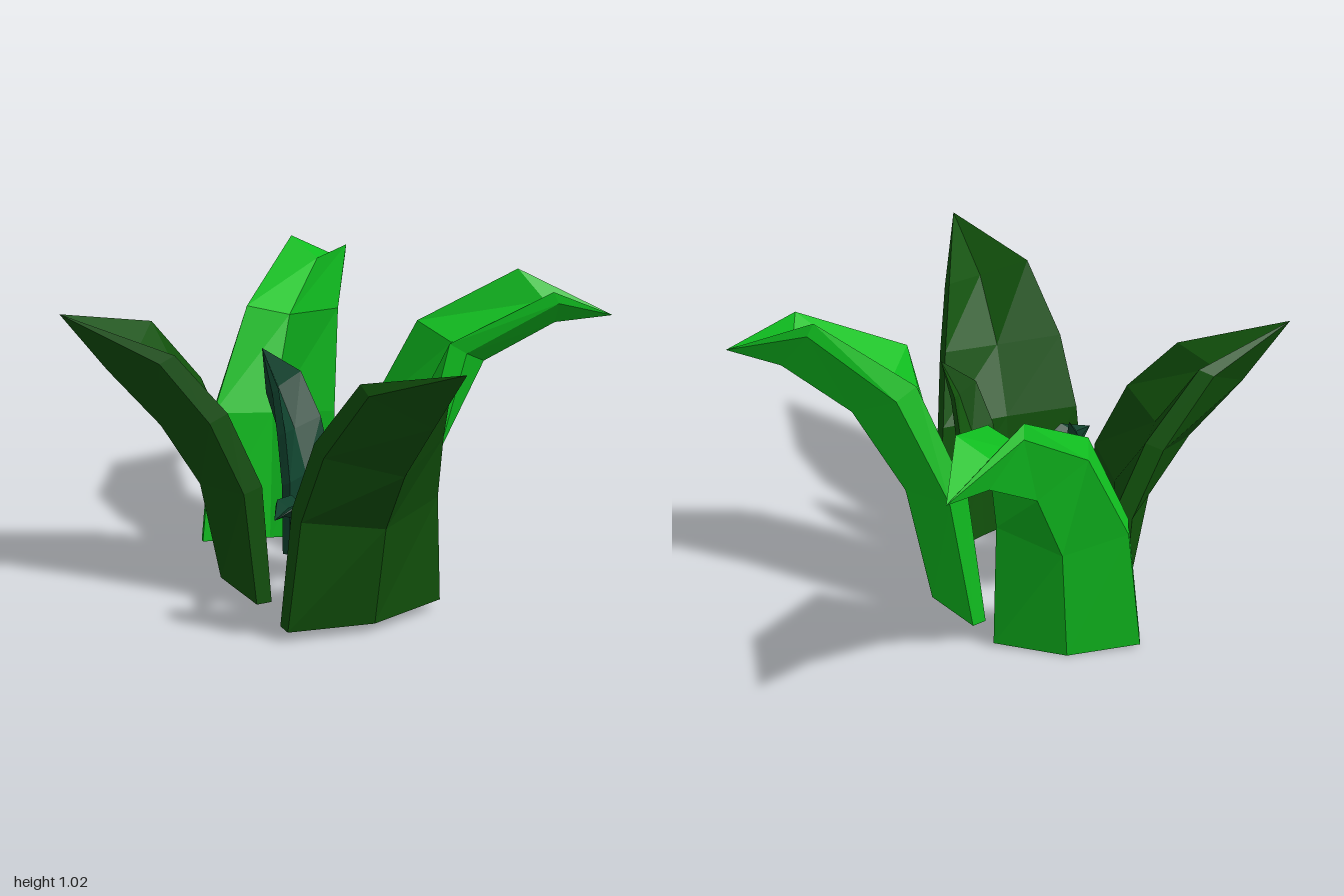
import * as THREE from 'three';

const mat = (color) => new THREE.MeshStandardMaterial({ color, flatShading: true });

// Each ring: edge out, edge height, keel out, keel height, half width, sideways drift,
// twist (one edge further out) and tilt (one edge higher)
const UPRIGHT = [
  [0.00, 0.03, 0.11, 0.02, 0.283, 0, 0, 0],
  [0.02, 0.42, 0.175, 0.36, 0.25, 0, 0, 0],
  [0.12, 0.66, 0.30, 0.57, 0.215, 0.01, 0, 0],
  [0.285, 0.865, 0.47, 0.77, 0.15, 0.015, 0.01, 0.02],
  [0.62, 0.97, 0.62, 0.97, 0.00, 0, 0, 0],
];
const DROOPING = [
  [0.00, 0.02, 0.10, 0.00, 0.24, 0, 0, 0],
  [0.02, 0.48, 0.18, 0.42, 0.21, 0.02, -0.02, 0],
  [0.12, 0.83, 0.33, 0.70, 0.155, 0.10, -0.04, 0],
  [0.435, 0.995, 0.52, 0.84, 0.10, 0.24, 0, -0.02],
  [0.67, 0.87, 0.67, 0.87, 0.00, 0.36, 0, 0],
];

// Thick folded leaf: six-point sections with an outer keel, thin rims and an inner groove
// that deepens towards the tip
function leafGeometry(rings, sweep = 0) {
  const sections = rings.map(([ed, eh, kd, kh, hw, drift, twist, tilt], i) => {
    const at = (t, side) => [
      ed + (kd - ed) * t + side * twist,
      eh + (kh - eh) * t + side * tilt,
      drift + sweep * ed + side * hw,
    ];
    const rim = 0.45 - 0.06 * i, groove = 0.1 + 0.13 * i;
    return [at(0, 1), at(rim, 1), at(1, 0), at(rim, -1), at(0, -1), at(groove, 0)];
  });
  const pos = [];
  const tri = (a, b, c) => pos.push(...a, ...b, ...c);
  for (let i = 0; i < sections.length - 1; i++) {
    const low = sections[i], high = sections[i + 1];
    for (let j = 0; j < 6; j++) {
      const k = (j + 1) % 6;
      tri(low[j], low[k], high[k]);
      if (i < sections.length - 2) tri(low[j], high[k], high[j]);
    }
  }
  // Base cap
  const base = sections[0];
  for (let j = 0; j < 4; j++) tri(base[5], base[j + 1], base[j]);
  const g = new THREE.BufferGeometry();
  g.setAttribute('position', new THREE.Float32BufferAttribute(pos, 3));
  g.computeVertexNormals();
  return g;
}

export function createModel() {
  const plant = new THREE.Group();
  plant.name = 'plant';
  const upright = leafGeometry(UPRIGHT);
  const uprightSwept = leafGeometry(UPRIGHT, 0.6);
  const drooping = leafGeometry(DROOPING);
  const droopingStraight = leafGeometry(DROOPING, -0.45);
  const bright = mat(0x10c020), dark = mat(0x11510b), teal = mat(0x0f402c);

  // angle is measured from +x towards +z
  const addLeaf = (name, geometry, material, [x, y, z], angle, size = 1, tall = 1) => {
    const leaf = new THREE.Mesh(geometry, material);
    leaf.name = name;
    leaf.position.set(x, y, z);
    leaf.rotation.y = -THREE.MathUtils.degToRad(angle);
    leaf.scale.set(size, tall, size);
    plant.add(leaf);
  };

  // Large outer leaves
  addLeaf('frontLeaf', upright, dark, [-0.06, 0.01, 0.4], 76);
  addLeaf('rightLeaf', upright, dark, [-0.30, 0, -0.045], 181);
  addLeaf('leftLeaf', drooping, bright, [0.17, 0.01, -0.05], -16);
  addLeaf('backLeaf', drooping, bright, [-0.155, 0, -0.375], -83);

  // Small inner leaves
  addLeaf('tallInnerLeaf', uprightSwept, teal, [-0.11, 0.13, 0.035], -133, 0.52, 0.62);
  addLeaf('shortInnerLeaf', droopingStraight, teal, [-0.12, 0.135, 0.195], 129, 0.47, 0.28);
  addLeaf('narrowInnerLeaf', upright, dark, [0.065, 0.1, 0.135], 53, 0.35, 0.63);

  return plant;
}
